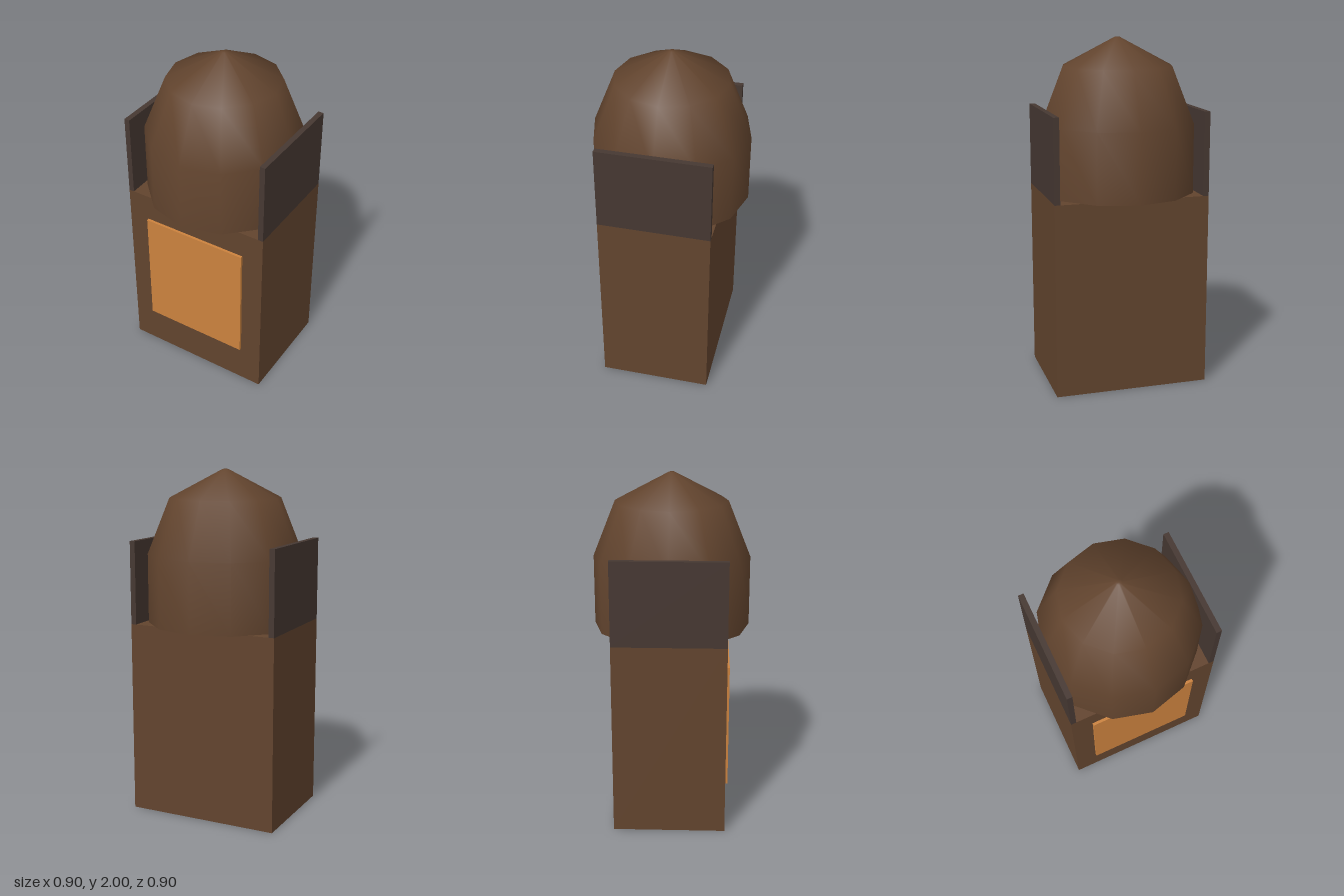
import * as THREE from 'three';

export function createModel() {
  const model = new THREE.Group();

  const brown = new THREE.MeshStandardMaterial({ color: 0x62442e });
  brown.name = 'brown';
  const domeBrown = new THREE.MeshStandardMaterial({ color: 0x62442e, side: THREE.DoubleSide });
  domeBrown.name = 'brown dome';
  const darkBrown = new THREE.MeshStandardMaterial({ color: 0x463832 });
  darkBrown.name = 'dark brown';
  const tan = new THREE.MeshStandardMaterial({ color: 0xcb823e });
  tan.name = 'tan';

  const add = (name, geometry, material, x, y, z) => {
    const mesh = new THREE.Mesh(geometry, material);
    mesh.name = name;
    mesh.position.set(x, y, z);
    model.add(mesh);
  };
  const box = (name, material, w, h, d, x, y, z) =>
    add(name, new THREE.BoxGeometry(w, h, d), material, x, y, z);

  // Main block and the raised panel on its front
  box('body', brown, 0.896, 1.12, 0.64, 0, 0.56, 0);
  box('frontPanel', tan, 0.64, 0.72, 0.016, 0, 0.6, 0.328);

  // Upright side plates above the block
  for (const side of [-1, 1]) {
    box(side > 0 ? 'leftPlate' : 'rightPlate', darkBrown, 0.032, 0.48, 0.64, side * 0.432, 1.36, 0);
  }

  // Twelve-sided hood, open underneath
  const profile = [[0.448, 1.12], [0.448, 1.52], [0.32, 1.84], [0.016, 2], [0, 2]]
    .map(([r, y]) => new THREE.Vector2(r, y));
  add('hood', new THREE.LatheGeometry(profile, 12), domeBrown, 0, 0, 0);

  return model;
}
